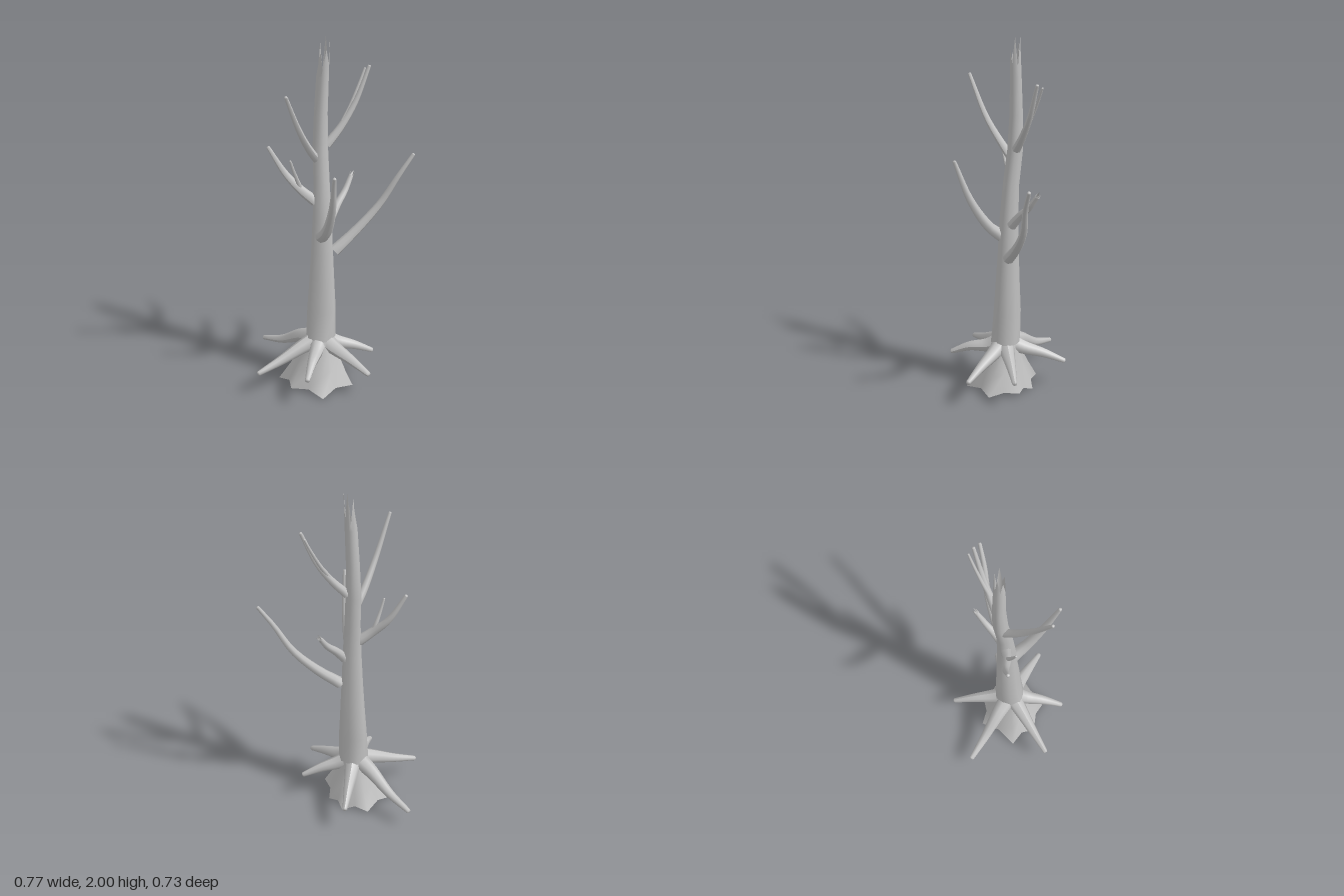
import * as THREE from 'three';

const bark = new THREE.MeshStandardMaterial({ color: 0xc0c0c0, side: THREE.DoubleSide });
bark.name = 'grey bark';

function addMesh(group, name, geometry) {
  const mesh = new THREE.Mesh(geometry, bark);
  mesh.name = name;
  group.add(mesh);
}

// Open skin over closed rings of points, listed bottom to top
function loft(rings) {
  const n = rings[0].length, index = [];
  for (let i = 0; i < rings.length - 1; i++) {
    for (let j = 0; j < n; j++) {
      const a = i * n + j, b = i * n + (j + 1) % n;
      index.push(a, a + n, b, b, a + n, b + n);
    }
  }
  const g = new THREE.BufferGeometry();
  g.setAttribute('position', new THREE.Float32BufferAttribute(rings.flat(2), 3));
  g.setIndex(index);
  g.computeVertexNormals();
  return g;
}

// Tapered tube through points; the tip is closed, or splintered if broken
function limb(points, r0, r1, broken = false) {
  const curve = new THREE.CatmullRomCurve3(points.map(p => new THREE.Vector3(...p)));
  const segs = 14, sides = 8;
  const g = new THREE.TubeGeometry(curve, segs, 1, sides);
  const pos = g.attributes.position, nor = g.attributes.normal;
  const v = new THREE.Vector3(), dir = curve.getTangentAt(1);
  for (let k = 0; k < pos.count; k++) {
    const ring = Math.floor(k / (sides + 1)), j = k % (sides + 1);
    const u = Math.min(ring / (segs - 2), 1);
    let r = r0 + (r1 - r0) * Math.pow(u, 0.85), push = 0;
    if (ring === segs - 1) { r *= broken ? 1 : 0.75; push = broken ? 0.005 : r1 * 0.5; }
    if (ring === segs) {
      r *= broken ? 0.8 : 0;
      push = broken ? (j % 2 ? 0.03 : -0.015) : r1 * 0.6;
    }
    v.fromBufferAttribute(nor, k).multiplyScalar(r).add(curve.getPointAt(u)).addScaledVector(dir, push);
    pos.setXYZ(k, v.x, v.y, v.z);
  }
  g.computeVertexNormals();
  return g;
}

export function createModel() {
  const tree = new THREE.Group();
  tree.name = 'deadTree';

  // Trunk: leaning ribbed rings [y, x min, x max, z min, z max]
  const sides = 10;
  const ring = ([y, x0, x1, z0, z1], level, heights) => Array.from({ length: sides }, (_, j) => {
    const a = j / sides * Math.PI * 2;
    const k = 1 + 0.05 * Math.sin(j * 2.4 + level * 0.5);
    return [
      (x0 + x1) / 2 + (x1 - x0) / 2 * k * Math.cos(a),
      heights ? heights[j] : y,
      (z0 + z1) / 2 + (z1 - z0) / 2 * k * Math.sin(a),
    ];
  });
  const levels = [
    [0.28, -0.04, 0.12, -0.07, 0.10],
    [0.45, -0.045, 0.12, -0.068, 0.08],
    [0.62, -0.035, 0.11, -0.065, 0.07],
    [0.80, -0.028, 0.10, -0.06, 0.056],
    [1.00, -0.02, 0.088, -0.056, 0.045],
    [1.20, -0.02, 0.07, -0.056, 0.03],
    [1.38, -0.035, 0.05, -0.066, 0.014],
    [1.58, -0.03, 0.042, -0.066, 0.002],
    [1.78, -0.018, 0.047, -0.064, -0.005],
  ];
  const rings = levels.map((l, i) => ring(l, i));
  // Splintered top
  const splinters = [1.86, 1.93, 1.80, 1.91, 1.82, 1.96, 1.81, 1.99, 1.84, 2.0];
  rings.push(ring([0, -0.004, 0.052, -0.062, -0.012], 9, splinters));
  addMesh(tree, 'trunk', loft(rings));

  // Flared foot: seven ridges running down to an uneven open hem
  const corners = [[0.24, -0.01], [0.175, 0.185], [-0.02, 0.215], [-0.155, 0.145],
    [-0.135, -0.075], [0, -0.14], [0.11, -0.125]];
  const cx = 0.04, cz = 0.02;
  const hem = corners.flatMap(([x, z], i) => {
    const [nx, nz] = corners[(i + 1) % corners.length];
    const mid = [(x + nx) / 2, (z + nz) / 2];
    return [[x, i % 2 ? 0 : 0.015, z], [cx + (mid[0] - cx) * 0.88, 0.022, cz + (mid[1] - cz) * 0.88]];
  });
  const footRings = [0, 0.35, 0.7, 1].map(t => hem.map(([x, y, z]) => {
    const a = Math.atan2(z - cz, x - cx), s = Math.pow(1 - t, 1.25);
    const tx = cx + 0.068 * Math.cos(a), tz = cz + 0.068 * Math.sin(a);
    return [tx + (x - tx) * s, y + (0.3 - y) * t, tz + (z - tz) * s];
  }));
  addMesh(tree, 'flaredFoot', loft(footRings));

  // Roots: drooping outwards from the bottom of the trunk
  const rootTips = [[-0.375, 0.112, -0.012], [0.37, 0.155, 0.033], [-0.138, 0.14, 0.352], [0.152, 0.175, 0.3],
    [-0.125, 0.16, -0.265], [0.248, 0.16, -0.185]];
  rootTips.forEach(([x, y, z], i) => {
    const at = (t, h) => [cx + (x - cx) * t, h, cz + (z - cz) * t];
    addMesh(tree, 'root' + (i + 1),
      limb([at(0.1, 0.265), at(0.32, 0.235), at(0.65, y + 0.045), [x, y, z]], 0.05, 0.014));
  });

  // Branches: [name, path, base radius, tip radius, broken]
  const branches = [
    ['rightBranch', [[0, 1.09, 0.01], [-0.06, 1.15, 0.05], [-0.14, 1.24, 0.085], [-0.21, 1.39, 0.138]], 0.03, 0.01],
    ['rightTwig', [[-0.06, 1.15, 0.05], [-0.072, 1.2, 0.065], [-0.078, 1.26, 0.09], [-0.085, 1.335, 0.115]], 0.014, 0.006],
    ['frontBranch', [[0.002, 1.31, -0.02], [0, 1.38, 0.045], [0.006, 1.53, 0.155], [0.002, 1.75, 0.265]], 0.025, 0.009],
    ['leftBranch', [[0.05, 0.9, 0.025], [0.11, 0.96, 0.065], [0.19, 1.12, 0.13], [0.247, 1.345, 0.192]], 0.036, 0.01],
    ['backLeftBranch', [[0.09, 0.8, -0.04], [0.16, 0.9, -0.135], [0.25, 1.05, -0.24], [0.325, 1.21, -0.3], [0.378, 1.325, -0.355]], 0.032, 0.01],
    ['backBranch', [[0.03, 1.4, -0.05], [0.07, 1.48, -0.11], [0.115, 1.61, -0.185], [0.155, 1.8, -0.255]], 0.025, 0.009],
    ['backTwig', [[0.08, 1.52, -0.13], [0.095, 1.6, -0.18], [0.11, 1.7, -0.23], [0.122, 1.78, -0.265]], 0.013, 0.006],
    ['brokenBranch', [[0.06, 0.98, -0.04], [0.068, 1.05, -0.1], [0.076, 1.11, -0.16], [0.08, 1.18, -0.21]], 0.028, 0.013, true],
  ];
  for (const [name, path, r0, r1, broken] of branches) addMesh(tree, name, limb(path, r0, r1, broken));

  return tree;
}
